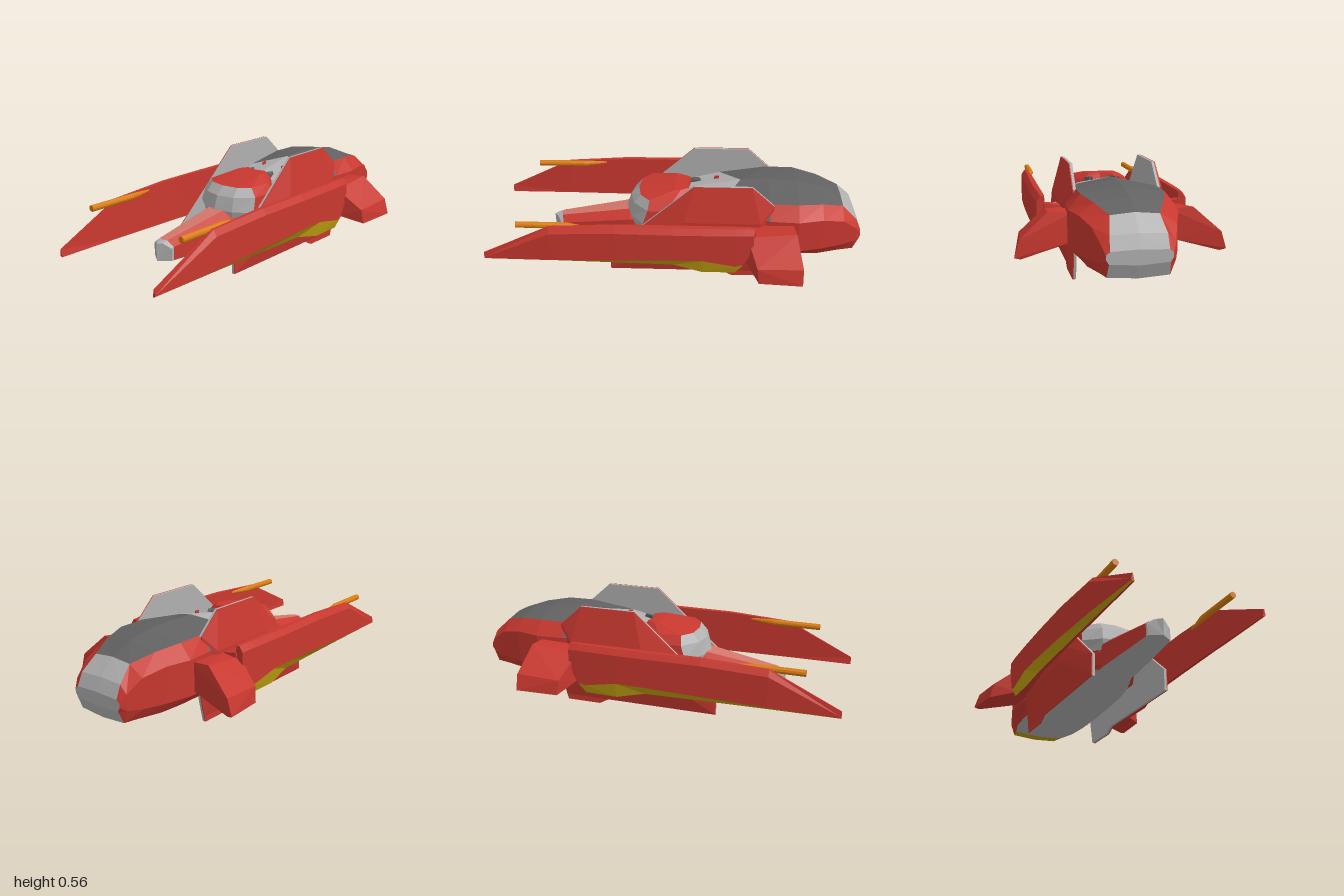
import * as THREE from 'three';
import { ConvexGeometry } from 'three/addons/geometries/ConvexGeometry.js';

const mat = (name, color) => Object.assign(new THREE.MeshStandardMaterial({ color, flatShading: true }), { name });
const red = mat('red paint', 0xc8382f);
const salmon = mat('salmon paint', 0xd4766a);
const light = mat('light grey', 0xb0b0b0);
const dark = mat('dark grey', 0x626262);
const yellow = mat('yellow', 0xc0a010);
const orange = mat('orange', 0xd97c0e);

// Skins a list of equal-length rings of [x, y, z]; pick(i, j) gives the material
// of the strip between rings i and i+1, and capA / capB close the ends.
function loft(name, rings, pick, capA, capB) {
  const faces = new Map();
  let volume = 0;
  const tri = (m, a, b, c) => {
    const [p, q, r] = [a, b, c].map(v => new THREE.Vector3(...v));
    volume += p.dot(q.clone().cross(r));
    if (!faces.has(m)) faces.set(m, []);
    faces.get(m).push([a, b, c]);
  };
  const n = rings[0].length;
  for (let i = 0; i < rings.length - 1; i++) for (let j = 0; j < n; j++) {
    const k = (j + 1) % n, A = rings[i], B = rings[i + 1], m = pick(i, j);
    tri(m, A[j], A[k], B[k]);
    tri(m, A[j], B[k], B[j]);
  }
  const first = rings[0], last = rings[rings.length - 1];
  for (let j = 1; j < n - 1; j++) {
    tri(capA, first[0], first[j + 1], first[j]);
    tri(capB, last[0], last[j], last[j + 1]);
  }
  const geo = new THREE.BufferGeometry(), pos = [], mats = [];
  for (const [m, list] of faces) {
    geo.addGroup(pos.length / 3, list.length * 3, mats.length);
    mats.push(m);
    for (const t of list) pos.push(...(volume < 0 ? [t[0], t[2], t[1]] : t).flat());
  }
  geo.setAttribute('position', new THREE.Float32BufferAttribute(pos, 3));
  geo.computeVertexNormals();
  const mesh = new THREE.Mesh(geo, mats);
  mesh.name = name;
  return mesh;
}

// Convex solid through the given points, mirrored in x by s
function hull(name, material, points, s) {
  const mesh = new THREE.Mesh(new ConvexGeometry(points.map(p => new THREE.Vector3(p[0] * s, p[1], p[2]))), material);
  mesh.name = name;
  return mesh;
}

// Completes a half ring that starts and ends on the centre line
const mirrorRing = half => [...half, ...half.slice(1, -1).reverse().map(([x, y, z]) => [-x, y, z])];
const halfIndex = (j, n) => Math.min(j, 2 * n - 1 - j); // n strips per half

// Main body: z, belly y, belly x, waist x, waist low/high y, roof edge x/y, roof centre y, centre z
function body() {
  const rows = [
    [0.22, 0.145, 0.09, 0.1, 0.17, 0.24, 0.08, 0.28, 0.29, 0.22],
    [0.05, 0.14, 0.15, 0.18, 0.17, 0.27, 0.13, 0.32, 0.34, 0.05],
    [-0.08, 0.14, 0.18, 0.19, 0.18, 0.36, 0.125, 0.415, 0.435, -0.08],
    [-0.24, 0.135, 0.19, 0.2, 0.19, 0.405, 0.172, 0.43, 0.484, -0.35],
    [-0.5, 0.133, 0.2, 0.25, 0.2, 0.38, 0.2, 0.455, 0.49, -0.5],
    [-0.65, 0.133, 0.2, 0.26, 0.2, 0.38, 0.2, 0.453, 0.484, -0.65],
    [-0.78, 0.133, 0.19, 0.23, 0.2, 0.38, 0.16, 0.435, 0.458, -0.78],
    [-0.895, 0.133, 0.155, 0.19, 0.2, 0.35, 0.112, 0.4, 0.41, -0.895],
    [-0.972, 0.135, 0.14, 0.165, 0.21, 0.29, 0.128, 0.328, 0.335, -0.972],
    [-1, 0.2, 0.135, 0.148, 0.23, 0.25, 0.13, 0.265, 0.27, -1],
  ];
  const rings = rows.map(([z, yb, xb, xw, y1, y2, xr, yr, yt, zc]) =>
    mirrorRing([[0, yb, z], [xb, yb + 0.01, z], [xw, y1, z], [xw, y2, z], [xr, yr, z], [0, yt, zc]]));
  return loft('body', rings, (i, j) => {
    const k = halfIndex(j, 5);
    if (k === 0) return i === 7 ? yellow : light;
    if (k === 4) return i < 3 || i >= 7 ? light : dark;
    return k === 3 && i === 3 ? dark : red;
  }, red, light);
}

// Faceted cockpit with a grey wrap-round front
function cockpit() {
  const rows = [
    [0.25, [0, 0.25], [0.09, 0.23], [0.165, 0.16], [0.165, -0.04], [0.1, -0.1], [0, -0.1]],
    [0.31, [0, 0.27], [0.1, 0.24], [0.19, 0.17], [0.19, -0.03], [0.1, -0.1], [0, -0.1]],
    [0.385, [0, 0.245], [0.095, 0.222], [0.18, 0.145], [0.18, 0], [0.1, -0.09], [0, -0.08]],
    [0.43, [0, 0.2], [0.09, 0.185], [0.145, 0.135], [0.15, 0.01], [0.09, -0.09], [0, -0.07]],
    [0.463, [0, 0], [0.05, 0], [0.085, 0], [0.085, -0.03], [0.06, -0.075], [0, -0.06]],
  ];
  const rings = rows.map(([y, ...p]) => mirrorRing(p.map(([x, z]) => [x, y, z])));
  return loft('cockpit', rings, (i, j) => (i < 3 && halfIndex(j, 5) < 2 ? light : red), red, red);
}

// Long tapered nose with a blunt wedge-shaped grey tip: z, half width, bottom, side y, ridge x, ridge y, centre z
function nose() {
  const rows = [
    [0.18, 0.1, 0.145, 0.28, 0.05, 0.32, 0.18],
    [0.25, 0.1, 0.145, 0.275, 0.05, 0.315, 0.25],
    [0.625, 0.065, 0.153, 0.222, 0.026, 0.25, 0.64],
    [0.637, 0.064, 0.153, 0.216, 0.025, 0.24, 0.68],
  ];
  const rings = rows.map(([z, x, yb, ys, xt, yt, zc]) =>
    mirrorRing([[0, yb - 0.005, zc], [x, yb, z], [x, ys, z], [xt, yt, (z + zc) / 2], [0, yt, zc]]));
  return loft('nose', rings, (i, j) => {
    const k = halfIndex(j, 4);
    if (i === 2 || k === 0) return light;
    return k === 3 ? salmon : red;
  }, red, light);
}

// Upright side fin: grey inner plate with a bulged red outer shell, and a small heel below
function sideFin(s) {
  const at = (x, outline) => outline.map(([z, y]) => [x, y, z]);
  const main = [[0.35, 0.03], [0.35, 0.15], [-0.1, 0.56], [-0.4, 0.56], [-0.52, 0.45], [-0.53, 0.13], [-0.508, 0.03]];
  const heel = [[-0.26, 0.03], [-0.31, 0], [-0.5, 0], [-0.508, 0.03]];
  const ridge = [[0.262, 0.22, 0.05], [0.262, 0.22, -0.45], [0.262, 0.37, -0.05], [0.262, 0.37, -0.45], [0.222, 0.08, 0.33]];
  const g = new THREE.Group();
  g.name = 'sideFin';
  for (const [part, outline, bulge] of [['fin', main, ridge], ['heel', heel, []]]) {
    g.add(hull(part + 'Plate', light, [...at(0.2, outline), ...at(0.213, outline)], s));
    g.add(hull(part + 'Shell', red, [...at(0.213, outline), ...at(0.218, outline), ...bulge], s));
  }
  return g;
}

// Long outer boom with a yellow lower outer bevel
function boom(s) {
  // z, bottom y, crease y, top y, outer x, bottom outer x
  const rows = [
    [1, 0.175, 0.18, 0.215, 0.35, 0.342],
    [0.64, 0.175, 0.195, 0.39, 0.375, 0.348],
    [0.3, 0.172, 0.21, 0.408, 0.386, 0.352],
    [0, 0.168, 0.22, 0.408, 0.39, 0.356],
    [-0.15, 0.136, 0.22, 0.408, 0.389, 0.372],
    [-0.32, 0.138, 0.185, 0.408, 0.385, 0.372],
    [-0.36, 0.18, 0.195, 0.408, 0.383, 0.372],
    [-0.41, 0.27, 0.3, 0.405, 0.38, 0.37],
  ];
  const rings = rows.map(([z, yb, ym, yt, xo, xb]) => [
    [0.335, yb, z], [xb, yb, z], [xo, ym, z], [xo, yt - 0.03, z], [Math.max(xo - 0.02, 0.346), yt, z], [0.342, yt, z],
  ].map(([x, y, w]) => [x * s, y, w]));
  return loft('boom', rings, (i, j) => (j === 1 && i < 6 ? yellow : red), red, red);
}

// Barrel on the inner face of the boom, its rear end blending outwards
function cannon(s) {
  const rings = [[0.42, 0.345, 0.006], [0.55, 0.326, 0.017], [0.815, 0.325, 0.017]].map(([z, x, r]) =>
    Array.from({ length: 10 }, (_, k) => {
      const a = k * Math.PI / 5;
      return [s * (x + r * Math.cos(a)), 0.383 + r * Math.sin(a), z];
    }));
  return loft('cannon', rings, () => orange, orange, orange);
}

// Short drooping rear wing
const rearWing = s => hull('rearWing', red, [
  [0.23, 0.345, -0.36], [0.23, 0.235, -0.36], [0.23, 0.36, -0.62], [0.23, 0.22, -0.62],
  [0.34, 0.34, -0.38], [0.35, 0.19, -0.38], [0.35, 0.37, -0.63],
  [0.472, 0.235, -0.43], [0.483, 0.155, -0.44], [0.485, 0.25, -0.66], [0.51, 0.165, -0.66], [0.48, 0.155, -0.65],
], s);

// Block given by its x, y and z ranges
const block = (x0, x1, y0, y1, z0, z1) =>
  [x0, x1].flatMap(x => [y0, y1].flatMap(y => [z0, z1].map(z => [x, y, z])));

export function createModel() {
  const model = new THREE.Group();
  model.name = 'spacecraft';
  model.add(body(), cockpit(), nose());
  for (const s of [1, -1]) {
    model.add(sideFin(s), boom(s), cannon(s), rearWing(s));
    // Strut between body and boom
    model.add(hull('strutCollar', light, block(0.24, 0.28, 0.285, 0.34, -0.3, -0.23), s));
    model.add(hull('strut', red, [
      ...block(0.23, 0.27, 0.25, 0.345, -0.4, -0.3), ...block(0.34, 0.345, 0.25, 0.37, -0.42, -0.38)], s));
    // Vents behind the cockpit
    model.add(hull('neckVent', dark, [
      [0.05, 0.43, -0.08], [0.09, 0.42, -0.08], [0.07, 0.43, -0.14], [0.05, 0.45, -0.09], [0.09, 0.442, -0.09], [0.07, 0.452, -0.13]], s));
    model.add(hull('neckSlit', red, block(0.067, 0.073, 0.44, 0.464, -0.235, -0.21), s));
  }
  return model;
}
